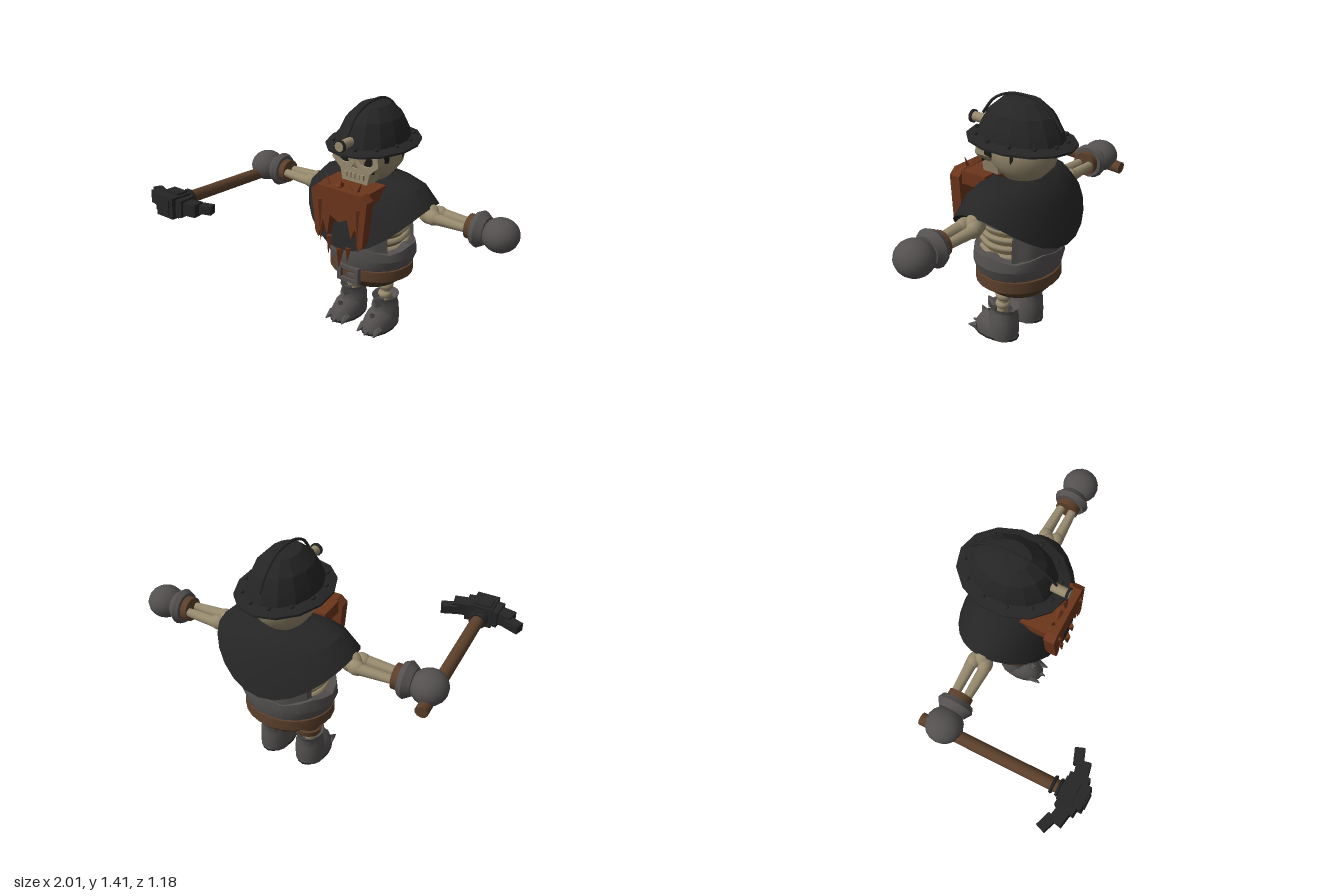
import * as THREE from 'three';
import { toCreasedNormals } from 'three/addons/utils/BufferGeometryUtils.js';

const CX = 0.075, CZ = -0.275; // body axis
const mat = (name, color, side = THREE.FrontSide) => {
  const m = new THREE.MeshStandardMaterial({ color, side });
  m.name = name;
  return m;
};

export function createModel() {
  const root = new THREE.Group();
  root.name = 'skeletonMiner';
  const black = mat('black cloth', 0x252525, THREE.DoubleSide);
  const grey = mat('grey cloth', 0x545050, THREE.DoubleSide);
  const bone = mat('bone', 0x978a6e);
  const dark = mat('dark hollow', 0x1a1916, THREE.DoubleSide);
  const brown = mat('brown trousers', 0x4e3822, THREE.DoubleSide);
  const orange = mat('beard', 0x6c351b, THREE.DoubleSide);
  const wood = mat('wood and leather', 0x5c402b);
  const flesh = mat('dried hide', 0x66573c);

  const add = (name, geo, m, pos = [0, 0, 0], rot = [0, 0, 0], parent = root) => {
    const mesh = new THREE.Mesh(geo, m);
    mesh.name = name;
    mesh.position.set(...pos);
    mesh.rotation.set(...rot);
    parent.add(mesh);
    return mesh;
  };
  // surface from rows (top to bottom) of points around an arc
  const surface = (rows, n, fn, a0 = 0, len = Math.PI * 2, crease = 0.55) => {
    const pos = [], idx = [];
    for (let i = 0; i < rows; i++)
      for (let j = 0; j <= n; j++) pos.push(...fn(i, a0 + len * j / n));
    for (let i = 0; i < rows - 1; i++)
      for (let j = 0; j < n; j++) {
        const a = i * (n + 1) + j, b = a + n + 1;
        idx.push(a, b, a + 1, a + 1, b, b + 1);
      }
    const g = new THREE.BufferGeometry();
    g.setAttribute('position', new THREE.Float32BufferAttribute(pos, 3));
    g.setIndex(idx);
    return toCreasedNormals(g, crease);
  };
  // elliptical rings [rx, rz, y, zShift]
  const loft = (p, n, x = CX, z = CZ, a0, len, crease) => surface(p.length, n, (i, a) =>
    [x + p[i][0] * Math.sin(a), p[i][2], z + (p[i][3] || 0) + p[i][1] * Math.cos(a)], a0, len, crease);
  const rod = (name, a, b, ra, rb, m, n = 12) => {
    const A = new THREE.Vector3(...a), B = new THREE.Vector3(...b), d = B.clone().sub(A);
    const g = toCreasedNormals(new THREE.CylinderGeometry(rb, ra, d.length(), n), 0.8);
    const mesh = add(name, g, m, A.add(B).multiplyScalar(0.5).toArray());
    mesh.quaternion.setFromUnitVectors(new THREE.Vector3(0, 1, 0), d.normalize());
    return mesh;
  };
  const ball = (name, p, r, m, s = [1, 1, 1]) =>
    add(name, new THREE.SphereGeometry(r, 18, 12), m, p).scale.set(...s);
  const shape = (pts) => new THREE.Shape(pts.map(p => new THREE.Vector2(...p)));
  const plate = (pts, depth) => new THREE.ExtrudeGeometry(shape(pts), { depth, bevelEnabled: false });

  // helmet
  add('helmet', loft([[0, 0, 1.39], [0.08, 0.11, 1.375], [0.145, 0.19, 1.31], [0.18, 0.235, 1.23],
    [0.19, 0.25, 1.18], [0.25, 0.315, 1.165], [0.25, 0.315, 1.153], [0.18, 0.23, 1.155], [0, 0, 1.17]],
  14, CX, CZ, 0, Math.PI * 2, 0.25), black);
  const arc = new THREE.CatmullRomCurve3([[-0.02, 1.25], [-0.09, 1.34], [-0.18, 1.385], [-0.275, 1.397],
    [-0.37, 1.385], [-0.46, 1.33], [-0.525, 1.25]].map(([z, y]) => new THREE.Vector3(CX, y, z)));
  add('helmetRidge', new THREE.TubeGeometry(arc, 18, 0.008, 6), black);
  for (let i = 0; i < 12; i++) {
    const a = (i + 0.5) * Math.PI / 6;
    ball('helmetRivet', [CX + 0.205 * Math.sin(a), 1.187, CZ + 0.265 * Math.cos(a)], 0.011, black);
  }
  rod('lampBody', [CX, 1.215, -0.05], [CX, 1.215, 0.045], 0.027, 0.027, bone);
  rod('lampRim', [CX, 1.215, 0.04], [CX, 1.215, 0.055], 0.036, 0.036, black);
  rod('lampGlass', [CX, 1.215, 0.053], [CX, 1.215, 0.058], 0.028, 0.028, bone);

  // skull: cranium, pierced face and dark sockets
  add('cranium', loft([[0.16, 0.19, 1.2], [0.165, 0.2, 1.11], [0.155, 0.185, 1.04], [0.12, 0.14, 0.99],
    [0.08, 0.1, 0.95]], 24, CX, -0.285, 0, Math.PI * 2, 1.2), bone);
  const face = shape([[-0.15, 1.17], [-0.155, 1.08], [-0.1, 1.03], [-0.085, 0.96], [0.085, 0.96],
    [0.1, 1.03], [0.155, 1.08], [0.15, 1.17]]);
  for (const s of [-1, 1]) {
    const eye = new THREE.Path();
    eye.absellipse(s * 0.075, 1.105, 0.045, 0.038, 0, Math.PI * 2);
    face.holes.push(eye);
    add('skullCrack', plate([[0, 1.16], [0.035, 1.16], [0.03, 1.1], [0.015, 1.075], [0.012, 1.12]], 0.006),
      dark, [CX + s * 0.158, 0, -0.31], [0, Math.PI / 2, 0]);
    add('temple', plate([[-0.14, 1.16], [-0.085, 1.16], [-0.09, 1.08], [-0.13, 1.09]], 0.006), dark,
      [CX + s * 0.153, 0, -0.285], [0, -Math.PI / 2 + s * 0.05, 0]).scale.x = -1;
  }
  face.holes.push(new THREE.Path([[0, 1.085], [-0.025, 1.045], [0.025, 1.045]].map(p => new THREE.Vector2(...p))));
  add('face', new THREE.ExtrudeGeometry(face, { depth: 0.1, bevelEnabled: false, curveSegments: 8 }), bone, [CX, 0, -0.19]);
  add('eyeAndNoseHollows', new THREE.BoxGeometry(0.24, 0.12, 0.008), dark, [CX, 1.09, -0.108]);
  for (let i = -2; i <= 2; i++)
    add('tooth', new THREE.BoxGeometry(0.022, 0.03, 0.015), bone, [CX + i * 0.028, 1.005, -0.083]);

  // beard and moustache
  add('beard', plate([[-0.19, 0.93], [-0.15, 0.965], [0.15, 0.965], [0.19, 0.93], [0.165, 0.66], [0.14, 0.63],
    [0.115, 0.76], [0.085, 0.69], [0.06, 0.8], [0, 0.77], [-0.06, 0.8], [-0.08, 0.67], [-0.11, 0.76],
    [-0.145, 0.64], [-0.165, 0.67]], 0.065), orange, [CX, 0, -0.005]);
  add('beardRoot', new THREE.BoxGeometry(0.33, 0.075, 0.16), orange, [CX, 0.925, -0.08]);
  for (const [x, top, tip, w] of [[-0.13, 0.88, 0.62, 0.03], [0.13, 0.88, 0.62, 0.03], [-0.075, 0.66, 0.55, 0.02],
    [0, 0.6, 0.48, 0.028], [0.06, 0.62, 0.54, 0.02]])
    rod('beardStrand', [CX + x, top, 0.045], [CX + x, tip, 0.055], w, 0.002, orange, 4);
  for (const s of [-1, 1]) {
    rod('moustache', [CX + s * 0.01, 0.975, 0.01], [CX + s * 0.13, 0.93, 0.02], 0.022, 0.004, orange, 4);
    rod('moustacheTip', [CX + s * 0.09, 0.95, 0.01], [CX + s * 0.12, 1.02, 0.012], 0.014, 0.002, orange, 4);
  }

  // cape: side, front and back profiles blended around the body
  const side = [[0.13, 0.975], [0.23, 0.972], [0.32, 0.95], [0.41, 0.86]];
  const front = [[0.13, 0.95], [0.2, 0.9], [0.27, 0.78], [0.325, 0.595]];
  const back = [[0.13, 0.972], [0.19, 0.93], [0.25, 0.84], [0.312, 0.64]];
  add('cape', surface(8, 28, (i, a) => {
    const k = i < 4 ? i : 7 - i, inner = i < 4 ? 0 : 0.03;
    const s = Math.sin(a), c = Math.cos(a), w = s * s, e = c > 0 ? front[k] : back[k];
    return [CX + (side[k][0] - inner) * s, e[1] * (1 - w) + side[k][1] * w - inner * 0.4, CZ + (e[0] - inner) * c];
  }), black);

  // torso: hide, ribs and torn shirt open at the sides
  add('innerTorso', loft([[0.15, 0.15, 0.92], [0.2, 0.19, 0.75], [0.21, 0.19, 0.5]], 20), flesh);
  for (const s of [-1, 1])
    for (let i = 0; i < 4; i++) {
      const pts = [-0.75, -0.3, 0.2, 0.75].map((a, j) => new THREE.Vector3(
        CX + s * 0.215 * Math.cos(a), 0.565 + i * 0.05 - j * 0.004, CZ + 0.2 * Math.sin(a)));
      add('rib', new THREE.TubeGeometry(new THREE.CatmullRomCurve3(pts), 10, 0.018, 6), bone);
    }
  add('shirtTop', loft([[0.16, 0.16, 0.93], [0.21, 0.2, 0.82], [0.23, 0.215, 0.72]], 20), grey);
  for (const [a0, len] of [[-0.95, 1.9], [Math.PI - 1.05, 2.1]])
    add('shirtPanel', surface(3, 12, (i, a) => {
      const edge = 0.01 * Math.sin(a * 13);
      const [rx, rz, y] = [[0.228, 0.213, 0.74], [0.242, 0.222, 0.65], [0.25, 0.226, 0.54]][i];
      return [CX + (rx + edge) * Math.sin(a), y, CZ + rz * Math.cos(a)];
    }, a0, len), grey);
  add('shirtHem', surface(5, 20, (i, a) => {
    const [rx, rz, y] = [[0.22, 0.2, 0.565], [0.275, 0.232, 0.56], [0.285, 0.237, 0.5], [0.262, 0.226, 0.44], [0.24, 0.2, 0.42]][i];
    return [CX + rx * Math.sin(a), y + (i < 2 ? 0.015 * Math.sin(a * 5) : 0), CZ + rz * Math.cos(a)];
  }, 0, Math.PI * 2, 0.4), grey);

  // belt, buckle and trousers
  add('belt', loft([[0.23, 0.2, 0.43], [0.262, 0.227, 0.43], [0.264, 0.228, 0.365], [0.23, 0.2, 0.36]], 24), wood);
  add('trousers', loft([[0.25, 0.218, 0.38], [0.225, 0.2, 0.335], [0.17, 0.16, 0.29], [0.1, 0.1, 0.277], [0, 0, 0.277]], 20), brown);
  const buckle = shape([[-0.075, -0.052], [0.075, -0.052], [0.075, 0.052], [-0.075, 0.052]]);
  buckle.holes.push(new THREE.Path([[-0.05, -0.03], [-0.05, 0.03], [0.05, 0.03], [0.05, -0.03]].map(p => new THREE.Vector2(...p))));
  add('buckle', new THREE.ExtrudeGeometry(buckle, { depth: 0.03, bevelEnabled: false }), grey, [CX, 0.395, -0.06]);
  add('bucklePin', new THREE.BoxGeometry(0.07, 0.018, 0.02), grey, [CX + 0.03, 0.395, -0.04]);

  // legs and boots
  for (const s of [-1, 1]) {
    const x = CX + s * 0.12;
    rod('shinBone', [x, 0.13, -0.25], [x, 0.3, -0.265], 0.032, 0.03, bone);
    ball('knee', [x, 0.265, -0.262], 0.047, bone, [1, 0.8, 1]);
    ball('ankle', [x, 0.205, -0.255], 0.042, bone, [1, 0.7, 1]);
    add('bootShaft', loft([[0.05, 0.05, 0.17], [0.078, 0.095, 0.2], [0.066, 0.08, 0.17], [0.082, 0.088, 0.13],
      [0.088, 0.09, 0.05], [0.085, 0.088, 0]], 16, x, -0.262, 0, Math.PI * 2, 0.8), grey);
    add('bootFoot', loft([[0.03, 0.06, 0.125], [0.07, 0.1, 0.1], [0.088, 0.13, 0.055], [0.09, 0.145, 0.012],
      [0.09, 0.145, 0]], 16, x, -0.21, 0, Math.PI * 2, 0.8), grey);
    add('sole', loft([[0.092, 0.148, 0.012], [0.092, 0.148, 0], [0, 0, 0]], 16, x, -0.208), black);
    for (const t of [-1, 0, 1])
      rod('toeFlap', [x + t * 0.052, 0.028, -0.12], [x + t * 0.06, 0.012, -0.04 - Math.abs(t) * 0.012], 0.03, 0.004, grey, 6);
    rod('bootTongue', [x, 0.08, -0.14], [x, 0.132, -0.105], 0.035, 0.003, grey, 5);
    rod('bootTopPoint', [x, 0.17, -0.19], [x, 0.212, -0.15], 0.04, 0.004, grey, 5);
  }
  add('trouserLeg', loft([[0.08, 0.08, 0.32], [0.07, 0.07, 0.26], [0.082, 0.08, 0.255], [0.075, 0.075, 0.22],
    [0.03, 0.03, 0.22]], 12, CX - 0.12), wood);

  // arms
  for (const s of [-1, 1]) {
    const P = (d, y = 0.81, z = CZ) => [CX + s * d, y, z];
    rod('upperArm', P(0.17, 0.85), P(0.39), 0.04, 0.035, bone);
    ball('elbow', P(0.385), 0.06, bone, [1.1, 1, 0.9]);
    for (const t of [-1, 1]) {
      ball('elbowKnob', P(0.43, 0.81, CZ + t * 0.035), 0.044, bone, [1.2, 1, 0.9]);
      rod('forearmBone', P(0.44, 0.81, CZ + t * 0.04), P(0.65, 0.81, CZ + t * 0.035), 0.034, 0.025, bone, 10);
    }
    rod('innerCuff', P(0.635), P(0.685), 0.07, 0.07, wood, 16);
    rod('gloveCuff', P(0.675), P(0.705), 0.09, 0.104, grey, 16);
    rod('gloveCuffEnd', P(0.705), P(0.745), 0.104, 0.078, grey, 16);
    ball('glove', P(0.823), 0.102, grey, [1, 0.92, 1.03]);
  }

  // pickaxe
  const px = -0.765;
  rod('pickHandle', [px, 0.755, -0.415], [px, 0.815, 0.46], 0.036, 0.036, wood, 10);
  for (const z of [0.39, 0.425]) add('pickRing', new THREE.TorusGeometry(0.042, 0.01, 6, 14), black, [px, 0.812, z]);
  const head = new THREE.Group();
  head.name = 'pickHead';
  head.position.set(px, 0.815, 0.51);
  head.rotation.x = -0.07;
  root.add(head);
  const block = (name, size, pos, ry = 0) => add(name, new THREE.BoxGeometry(...size), black, pos, [0, ry, 0], head);
  block('pickCore', [0.13, 0.125, 0.14], [0, 0, 0]);
  block('pickFace', [0.08, 0.09, 0.02], [0, 0, 0.068]);
  block('pickCollar', [0.1, 0.15, 0.07], [0, 0, -0.02]);
  for (const s of [-1, 1]) {
    block('pickShoulder', [0.05, 0.1, 0.11], [s * 0.075, 0, -0.01], s * 0.1);
    block('pickArm', [0.09, 0.075, 0.075], [s * 0.13, 0, -0.018], s * 0.2);
    block('pickTip', [0.09, 0.05, 0.055], [s * 0.19, 0, -0.065], s * 0.35);
  }
  return root;
}
